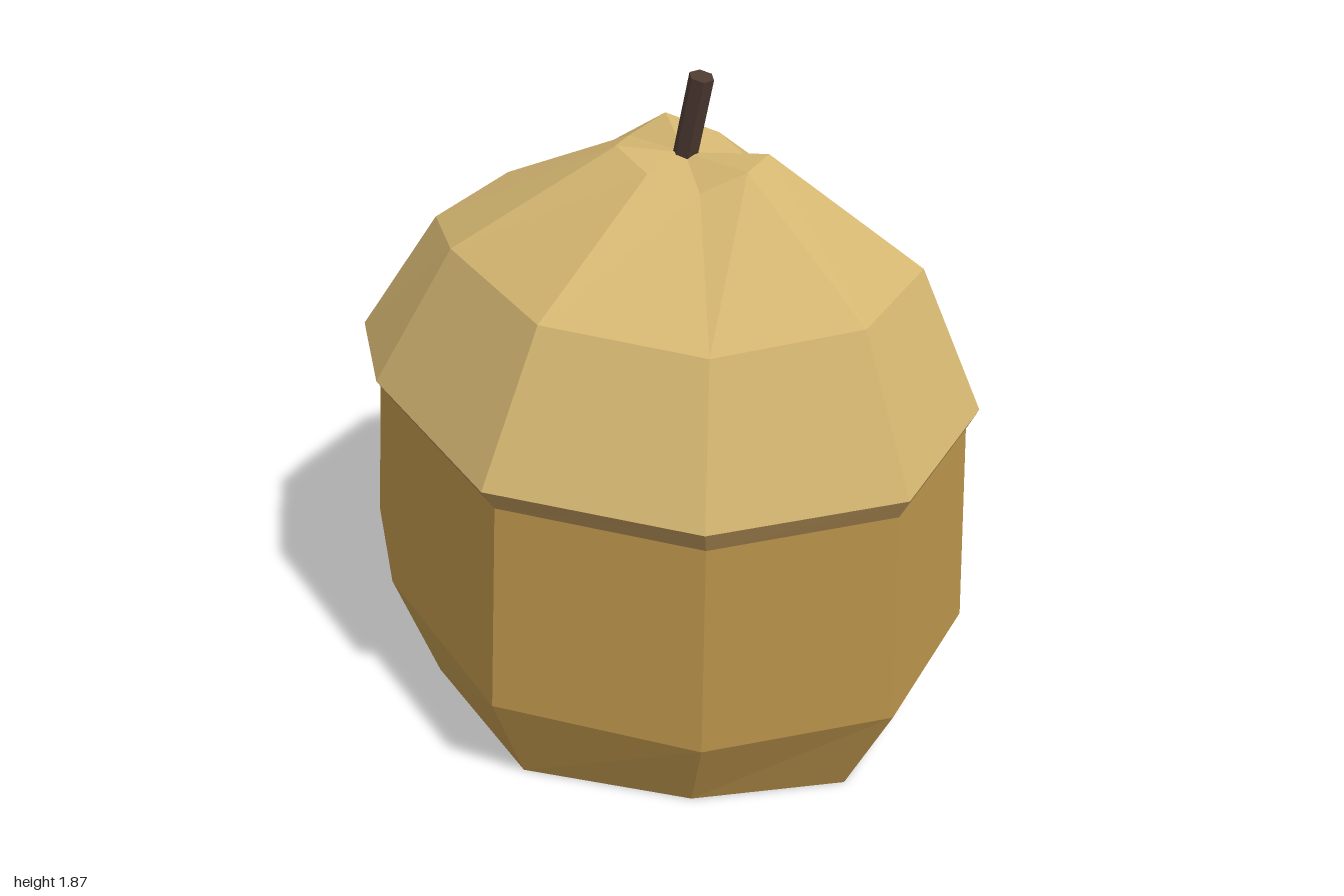
import * as THREE from 'three';

const mat = (name, color) => {
  const m = new THREE.MeshStandardMaterial({ color, flatShading: true });
  m.name = name;
  return m;
};

// Uneven ten-sided outline: x, z and height of each corner of the cap's rim
const OUTLINE = [
  [1.0, 0.0, 0.99], [0.81, -0.48, 1.0], [0.26, -0.7, 0.94], [-0.33, -0.78, 0.97],
  [-0.88, -0.44, 1.01], [-1.0, 0.0, 0.96], [-0.81, 0.47, 0.95], [-0.35, 0.7, 1.01],
  [0.28, 0.78, 0.98], [0.74, 0.44, 0.94],
];
const N = OUTLINE.length;

// One cross-section: the outline scaled, shifted and lifted
const ring = (scale, lift, dx = 0, dz = 0) =>
  OUTLINE.map(([x, z, y]) => [x * scale + dx, y + lift, z * scale + dz]);
const flatRing = (scale, y) => ring(scale, 0).map((p) => [p[0], y, p[2]]);

// Flat facets between stacked cross-sections, listed from bottom to top
function loft(rings, closeBottom, closeTop) {
  const pos = [];
  const tri = (a, b, c) => pos.push(...a, ...b, ...c);
  const centre = (r) => [0, 1, 2].map((k) => r.reduce((s, p) => s + p[k], 0) / N);
  for (let i = 0; i < N; i++) {
    const j = (i + 1) % N;
    for (let k = 0; k + 1 < rings.length; k++) {
      const lo = rings[k], hi = rings[k + 1];
      tri(lo[i], lo[j], hi[j]);
      tri(lo[i], hi[j], hi[i]);
    }
    const bottom = rings[0], top = rings[rings.length - 1];
    if (closeBottom) tri(centre(bottom), bottom[j], bottom[i]);
    if (closeTop) tri(centre(top), top[i], top[j]);
  }
  const g = new THREE.BufferGeometry();
  g.setAttribute('position', new THREE.Float32BufferAttribute(pos, 3));
  g.computeVertexNormals();
  return g;
}

export function createModel() {
  const group = new THREE.Group();
  group.name = 'acorn';
  const nutBrown = mat('nutBrown', 0xb8924a);
  const capTan = mat('capTan', 0xd4b671);
  const rimBrown = mat('rimBrown', 0xac8a53);
  const stemBrown = mat('stemBrown', 0x4d3a31);

  const add = (name, geometry, material) => {
    const mesh = new THREE.Mesh(geometry, material);
    mesh.name = name;
    group.add(mesh);
    return mesh;
  };

  // Nut body: flat base, widest low down, narrowing slightly to the cap
  const neck = ring(0.95, -0.06, 0.015);
  add('body', loft([flatRing(0.845, 0), ring(1, -0.665), neck], true, false), nutBrown);

  // Sloping underside of the overhanging cap
  const rim = ring(0.995, 0);
  add('capUnderside', loft([neck, rim], false, false), rimBrown);

  // Faceted cap, drifting towards the stem side as it rises
  add('cap', loft([rim, ring(0.75, 0.4, 0.065), ring(0.24, 0.665, 0.12, -0.02)], false, true), capTan);

  // Leaning six-sided stem
  const from = new THREE.Vector3(0.112, 1.62, -0.02);
  const to = new THREE.Vector3(0.178, 1.862, -0.02);
  const dir = to.clone().sub(from);
  const stem = add('stem', new THREE.CylinderGeometry(0.034, 0.034, dir.length(), 6), stemBrown);
  stem.position.copy(from).add(to).multiplyScalar(0.5);
  stem.quaternion.setFromUnitVectors(new THREE.Vector3(0, 1, 0), dir.normalize());

  return group;
}
